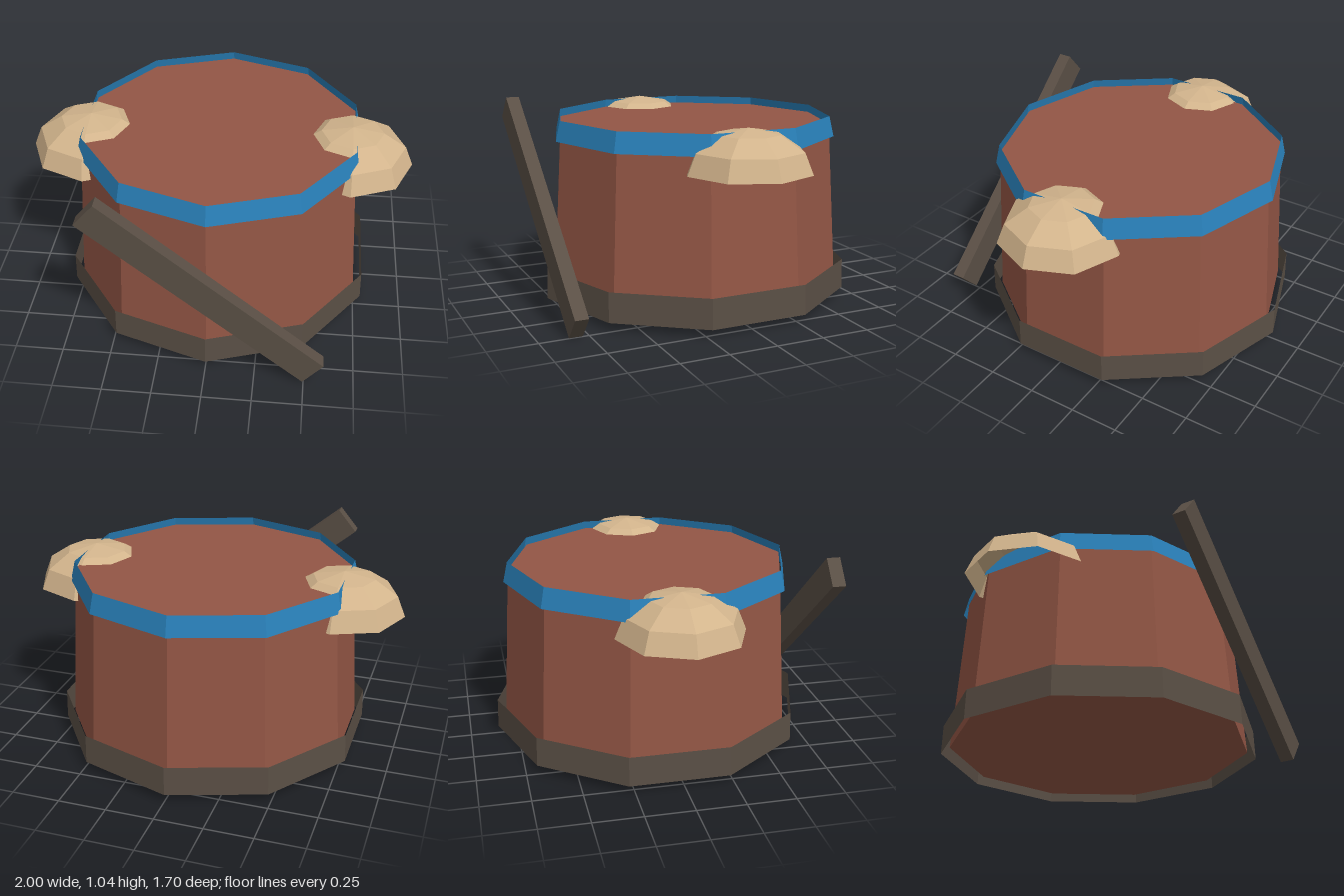
import * as THREE from 'three';

const SIDES = 10;      // staves around the tub
const TUB_Z = -0.025;  // tub axis, set back to leave room for the plank

function material(name, color, doubleSided = false) {
  const m = new THREE.MeshStandardMaterial({ color, flatShading: true });
  m.name = name;
  if (doubleSided) m.side = THREE.DoubleSide;
  return m;
}

export function createModel() {
  const brown = material('brown wood', 0x935645);
  const grey = material('dark weathered wood', 0x5a4f45, true);
  const blue = material('blue rim', 0x2980b9, true);
  const tan = material('tan fungus', 0xd2b48c, true);

  const model = new THREE.Group();
  model.name = 'tub';

  const add = (name, geometry, mat, x, y, z) => {
    const mesh = new THREE.Mesh(geometry, mat);
    mesh.name = name;
    mesh.position.set(x, y, z);
    model.add(mesh);
    return mesh;
  };

  // Tapered ten-sided ring or drum between two heights
  const drum = (name, mat, y0, y1, r0, r1, open) =>
    add(name, new THREE.CylinderGeometry(r1, r0, y1 - y0, SIDES, 1, open),
      mat, 0, (y0 + y1) / 2, TUB_Z);

  drum('body', brown, 0.08, 0.93, 0.784, 0.731, false);
  drum('baseBand', grey, 0.045, 0.2, 0.827, 0.823, true);
  drum('topRim', blue, 0.865, 0.97, 0.757, 0.733, true);

  // Hollow flattened domes straddling the rim on both sides
  for (const side of [1, -1]) {
    const cap = new THREE.SphereGeometry(0.32, 8, 3, 0, Math.PI * 2, 0, Math.PI / 2);
    cap.scale(1, 0.21 / 0.32, 1);
    add(side > 0 ? 'leftDome' : 'rightDome', cap, tan, side * 0.68, 0.775, -0.005);
  }

  // Slanted plank leaning across the front
  const plank = add('plank', new THREE.BoxGeometry(1.425, 0.155, 0.07), grey, 0, 0.522, 0.815);
  plank.rotation.z = -0.7;

  return model;
}
